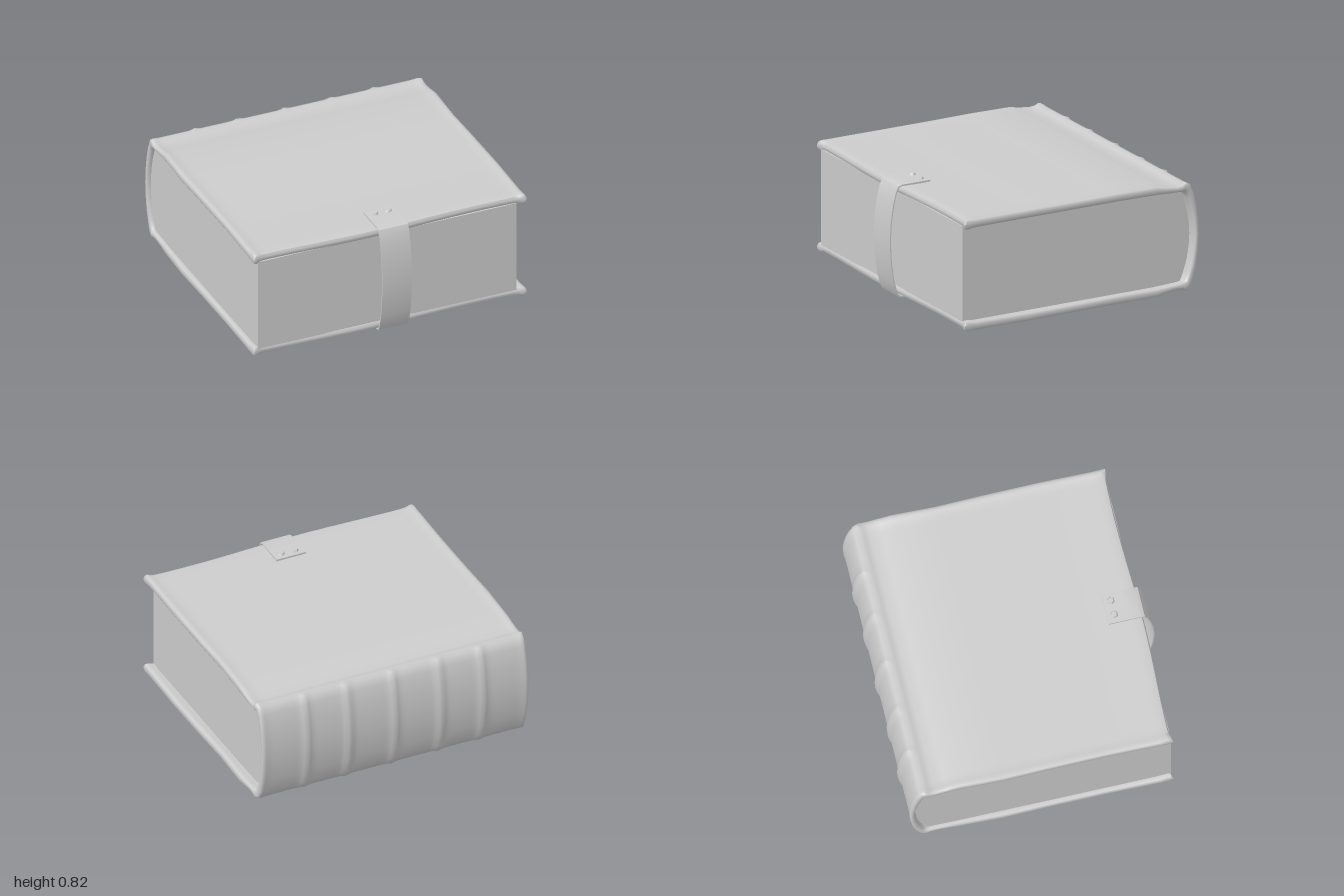
import * as THREE from 'three';
import { toCreasedNormals } from 'three/addons/utils/BufferGeometryUtils.js';

const MID = 0.405; // half height, mirror line of the book

const bump = (d, w) => Math.exp(-(d * d) / (w * w));

// Mirrors an upper half profile [z, y, ...] about the mid height
const mirrorPairs = (half) => [
  ...half,
  ...half.slice(0, -1).reverse().map(([zo, yo, zi, yi]) => [zo, 2 * MID - yo, zi, 2 * MID - yi]),
];

// Leather cover: boards and spine as one shell, lofted along x
function coverGeometry() {
  // outer z, outer y, inner z, inner y, from the fore edge to mid spine
  const profile = mirrorPairs([
    [0.868, 0.768, 0.868, 0.752],
    [0.86, 0.784, 0.858, 0.736],
    [0.835, 0.789, 0.835, 0.735],
    [0.78, 0.786, 0.78, 0.742],
    [0.4, 0.787, 0.4, 0.745],
    [0, 0.785, 0, 0.744],
    [-0.3, 0.785, -0.3, 0.742],
    [-0.6, 0.784, -0.6, 0.741],
    [-0.68, 0.768, -0.68, 0.738],
    [-0.76, 0.757, -0.75, 0.735],
    [-0.8, 0.762, -0.79, 0.733],
    [-0.83, 0.777, -0.81, 0.73],
    [-0.86, 0.765, -0.83, 0.715],
    [-0.885, 0.71, -0.85, 0.67],
    [-0.908, 0.62, -0.875, 0.59],
    [-0.923, 0.51, -0.892, 0.5],
    [-0.928, MID, -0.9, MID],
  ]);
  const n = profile.length;
  const ribs = [-0.65, -0.34, 0, 0.34, 0.65];
  const xs = [];
  for (let i = 0; i <= 76; i++) xs.push(-0.95 + i * 0.025);
  xs.unshift(-0.992, -0.985, -0.968);
  xs.push(0.968, 0.985, 0.992);

  const pos = [], index = [];
  xs.forEach((x) => {
    const a = Math.abs(x);
    const rim = bump(a - 0.985, 0.04); // swollen rim at head and tail
    const shrink = a > 0.99 ? 0.45 : a > 0.98 ? 0.85 : 1;
    const rib = Math.max(...ribs.map((r) => bump(x - r, 0.024)));
    const ring = profile.map(([zo, yo, zi, yi]) => {
      const s = Math.sign(yo - MID);
      const spine = THREE.MathUtils.smoothstep(-zo, 0.82, 0.88);
      const board = 1 - spine;
      const fore = THREE.MathUtils.smoothstep(zo, 0.6, 0.86);
      const wave = fore * (-0.008 + 0.01 * Math.cos(4 * x + 0.6) + 0.014 * rim);
      const lift = s * 0.009 * rim * board;
      const out = rib * 0.016 * spine + rim * 0.006 * spine;
      let o = [zo + wave - out, yo + lift + s * rib * 0.005 * spine];
      let q = [zi + wave, yi - lift];
      const m = [(o[0] + q[0]) / 2, (o[1] + q[1]) / 2];
      o = o.map((v, k) => m[k] + (v - m[k]) * shrink);
      q = q.map((v, k) => m[k] + (v - m[k]) * shrink);
      const wx = x - spine * Math.sign(x) * 0.008 * rim + 0.006 * rim * Math.sin(7 * zo);
      return { o, q, wx };
    });
    ring.forEach((p) => pos.push(p.wx, p.o[1], p.o[0]));
    [...ring].reverse().forEach((p) => pos.push(p.wx, p.q[1], p.q[0]));
  });

  const N = 2 * n;
  const last = (xs.length - 1) * N;
  for (let i = 0; i < xs.length - 1; i++) {
    for (let j = 0; j < N; j++) {
      const a = i * N + j, d = i * N + ((j + 1) % N);
      index.push(a, a + N, d + N, a, d + N, d);
    }
  }
  // End caps between outer and inner skins
  for (let k = 0; k < n - 1; k++) {
    const o = k, o2 = k + 1, q = N - 1 - k, q2 = N - 2 - k;
    index.push(last + o, last + q, last + q2, last + o, last + q2, last + o2);
    index.push(o, q2, q, o, o2, q2);
  }
  const g = new THREE.BufferGeometry();
  g.setAttribute('position', new THREE.Float32BufferAttribute(pos, 3));
  g.setIndex(index);
  return toCreasedNormals(g, 0.9);
}

// Extrudes a side outline (drawn with -z to the right) between two x values
function extrudeAcross(shape, x0, x1) {
  const g = new THREE.ExtrudeGeometry(shape, { depth: x1 - x0, bevelEnabled: false, curveSegments: 16 });
  g.rotateY(Math.PI / 2).translate(x0, 0, 0);
  return toCreasedNormals(g, 0.6);
}

export function createModel() {
  const book = new THREE.Group();
  book.name = 'book';
  const grey = new THREE.MeshStandardMaterial({ color: 0xcccccc });
  grey.name = 'plain grey';
  const add = (name, geometry) => {
    const mesh = new THREE.Mesh(geometry, grey);
    mesh.name = name;
    book.add(mesh);
    return mesh;
  };

  add('cover', coverGeometry());

  // Page block with a rounded back
  const pages = new THREE.Shape();
  pages.moveTo(-0.855, 0.07);
  pages.lineTo(0.81, 0.07);
  pages.quadraticCurveTo(0.965, MID, 0.81, 0.74);
  pages.lineTo(-0.855, 0.74);
  pages.closePath();
  add('pages', extrudeAcross(pages, -0.96, 0.925));

  // Strap bowed around the fore edge
  const path = mirrorPairs([
    [0.635, 0.799, 0.635, 0.785],
    [0.76, 0.799, 0.76, 0.787],
    [0.85, 0.8, 0.85, 0.79],
    [0.882, 0.79, 0.875, 0.782],
    [0.9, 0.755, 0.892, 0.752],
    [0.922, 0.67, 0.914, 0.668],
    [0.94, 0.55, 0.932, 0.55],
    [0.948, MID, 0.94, MID],
  ]);
  const outline = [
    ...path.map(([z, y]) => new THREE.Vector2(-z, y)),
    ...[...path].reverse().map(([, , z, y]) => new THREE.Vector2(-z, y)),
  ];
  add('strap', extrudeAcross(new THREE.Shape(outline), -0.095, 0.12));

  // Faceted rivets on both ends of the strap
  for (const side of [1, -1]) {
    [-0.037, 0.064].forEach((x, i) => {
      const g = new THREE.CylinderGeometry(0.02, 0.03, 0.018, 6).toNonIndexed();
      g.computeVertexNormals();
      const rivet = add(side > 0 ? 'topRivet' : 'bottomRivet', g);
      rivet.position.set(x, MID + side * 0.399, 0.685);
      rivet.rotation.set(side > 0 ? 0 : Math.PI, 0.3 + i * 0.4, 0);
    });
  }
  return book;
}
